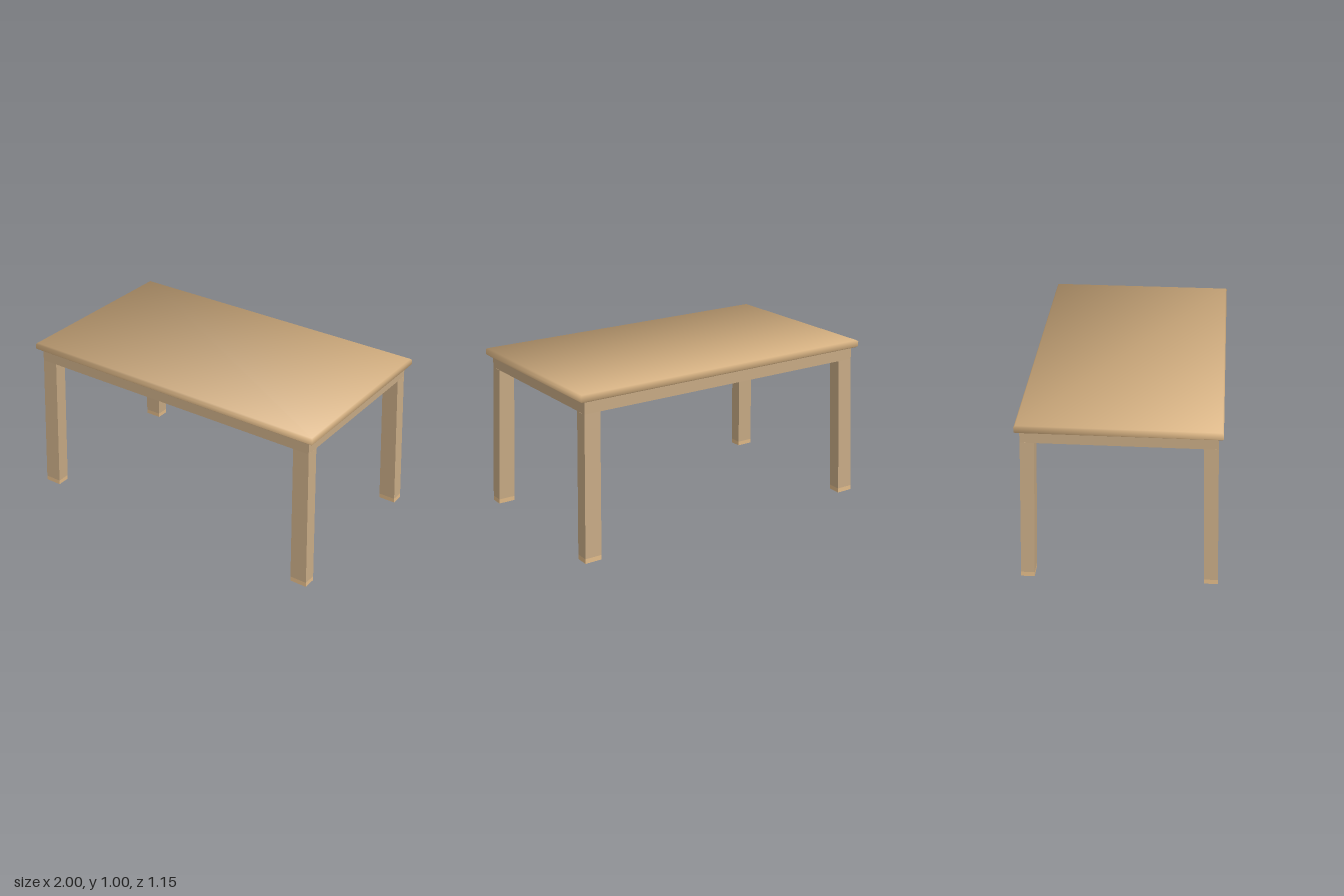
import * as THREE from 'three';

const topWood = new THREE.MeshStandardMaterial({ color: 0xdeb887 });
topWood.name = 'warm wood';
const legWood = new THREE.MeshStandardMaterial({ color: 0xc6a984 });
legWood.name = 'muted wood';

// Softly shaded slab: rectangular rings joined from bottom to top, with caps
function slabGeometry(halfX, halfZ, profile) {
  const corners = [[1, 1], [1, -1], [-1, -1], [-1, 1]];
  const pos = [], nor = [], index = [];
  for (const [inset, y, ny] of profile) {
    for (const [sx, sz] of corners) {
      pos.push(sx * (halfX - inset), y, sz * (halfZ - inset));
      nor.push(...new THREE.Vector3(sx, ny, sz).normalize().toArray());
    }
  }
  for (let r = 0; r < profile.length - 1; r++) {
    for (let i = 0; i < 4; i++) {
      const a = r * 4 + i, b = r * 4 + (i + 1) % 4;
      index.push(a, b, b + 4, a, b + 4, a + 4);
    }
  }
  const t = (profile.length - 1) * 4;
  index.push(0, 2, 1, 0, 3, 2, t, t + 1, t + 2, t, t + 2, t + 3);
  const g = new THREE.BufferGeometry();
  g.setAttribute('position', new THREE.Float32BufferAttribute(pos, 3));
  g.setAttribute('normal', new THREE.Float32BufferAttribute(nor, 3));
  g.setIndex(index);
  return g;
}

// Box whose ends have their own centre and size: { x, y, z, w, d }
function splayedBox(bottom, top) {
  const g = new THREE.BoxGeometry(1, 1, 1);
  const p = g.attributes.position;
  for (let i = 0; i < p.count; i++) {
    const e = p.getY(i) > 0 ? top : bottom;
    p.setXYZ(i, e.x + p.getX(i) * e.w, e.y, e.z + p.getZ(i) * e.d);
  }
  g.computeVertexNormals();
  return g;
}

function rectangle(Type, hx, hy) {
  return new Type([[-hx, -hy], [hx, -hy], [hx, hy], [-hx, hy]].map(([x, y]) => new THREE.Vector2(x, y)));
}

export function createModel() {
  const model = new THREE.Group();
  model.name = 'table';
  const add = (name, geometry, material) => {
    const mesh = new THREE.Mesh(geometry, material);
    mesh.name = name;
    model.add(mesh);
  };

  // Tabletop with eased edges
  add('tabletop', slabGeometry(1, 0.574, [
    [0.008, 0.955, -1], [0, 0.963, -0.4], [0, 0.992, 0.4], [0.008, 1, 1],
  ]), topWood);

  // Apron frame under the top
  const frame = rectangle(THREE.Shape, 0.966, 0.549);
  frame.holes.push(rectangle(THREE.Path, 0.866, 0.47));
  const apron = new THREE.ExtrudeGeometry(frame, { depth: 0.077, bevelEnabled: false });
  apron.rotateX(-Math.PI / 2).translate(0, 0.88, 0);
  add('apron', apron, legWood);

  // Four splayed legs with short straight feet
  for (const sx of [1, -1]) {
    for (const sz of [1, -1]) {
      const end = (x, y, z, w, d) => ({ x: sx * x, y, z: sz * z, w, d });
      const side = (sz > 0 ? 'front' : 'back') + (sx > 0 ? 'Left' : 'Right');
      const ankle = end(0.943, 0.028, 0.532, 0.106, 0.08);
      add(side + 'Leg', splayedBox(ankle, end(0.916, 0.88, 0.509, 0.101, 0.08)), legWood);
      add(side + 'Foot', splayedBox(end(0.944, 0, 0.533, 0.106, 0.08), ankle), topWood);
    }
  }
  return model;
}
